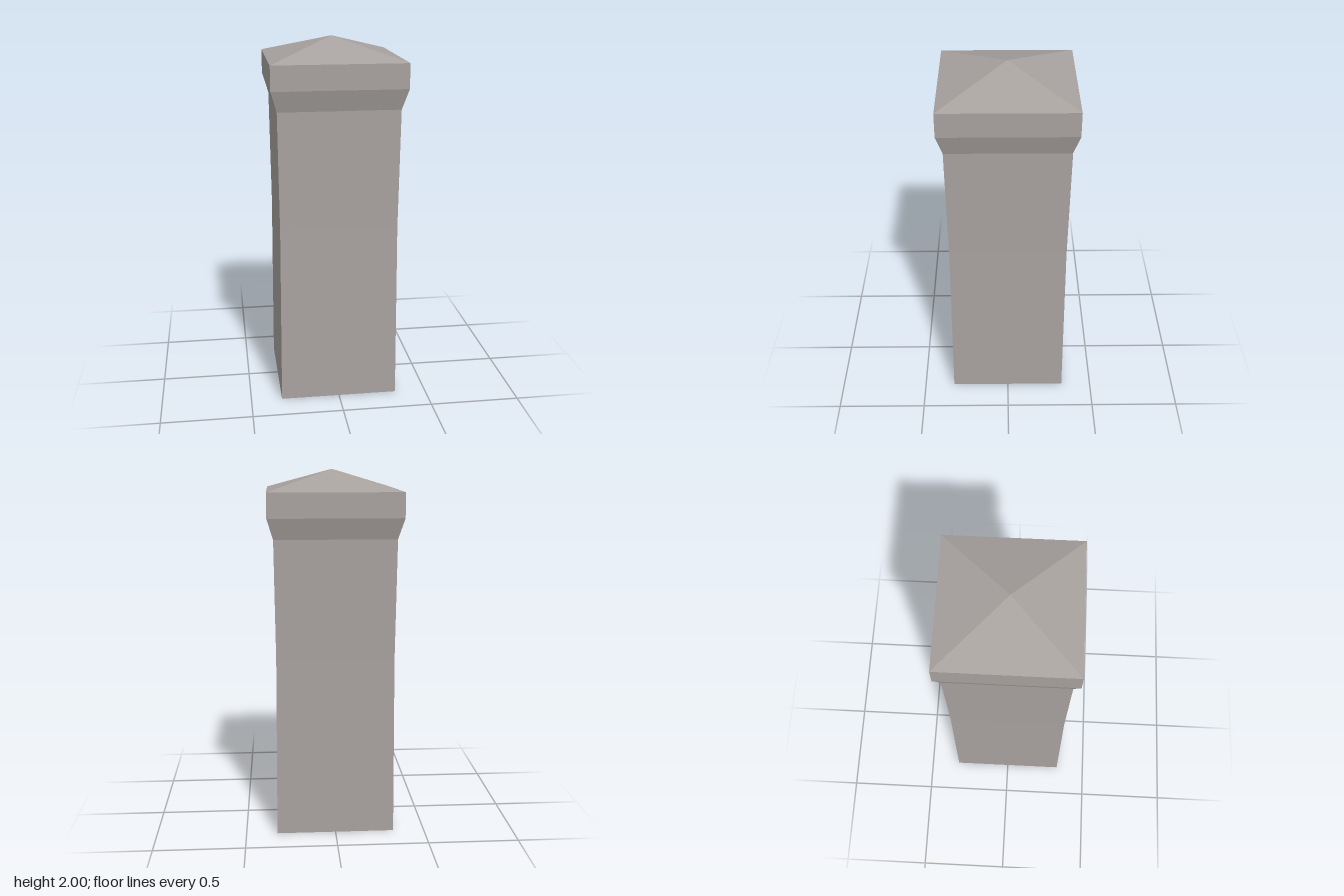
import * as THREE from 'three';

const stone = new THREE.MeshStandardMaterial({ color: 0xa8a29f });
stone.name = 'warm grey stone';

// Square frustum between two heights, given its half-widths, with flat faces
function squareSection(name, y0, half0, y1, half1, open = true) {
  const indexed = new THREE.CylinderGeometry(
    half1 * Math.SQRT2, half0 * Math.SQRT2, y1 - y0, 4, 1, open, Math.PI / 4);
  const geometry = indexed.toNonIndexed();
  geometry.computeVertexNormals();
  const mesh = new THREE.Mesh(geometry, stone);
  mesh.name = name;
  mesh.position.y = (y0 + y1) / 2;
  return mesh;
}

export function createModel() {
  const pillar = new THREE.Group();
  pillar.name = 'stonePillar';

  // Shaft, very slightly waisted at mid height
  const shaft = new THREE.Group();
  shaft.name = 'shaft';
  shaft.add(
    squareSection('lowerShaft', 0, 0.327, 1, 0.32, false),
    squareSection('upperShaft', 1, 0.32, 1.645, 0.327));

  // Flared capital, upright band and pyramid top
  const cap = new THREE.Group();
  cap.name = 'cap';
  cap.add(
    squareSection('capFlare', 1.645, 0.327, 1.757, 0.36),
    squareSection('capBand', 1.757, 0.36, 1.89, 0.36),
    squareSection('capPyramid', 1.89, 0.36, 2, 0));

  pillar.add(shaft, cap);
  return pillar;
}
